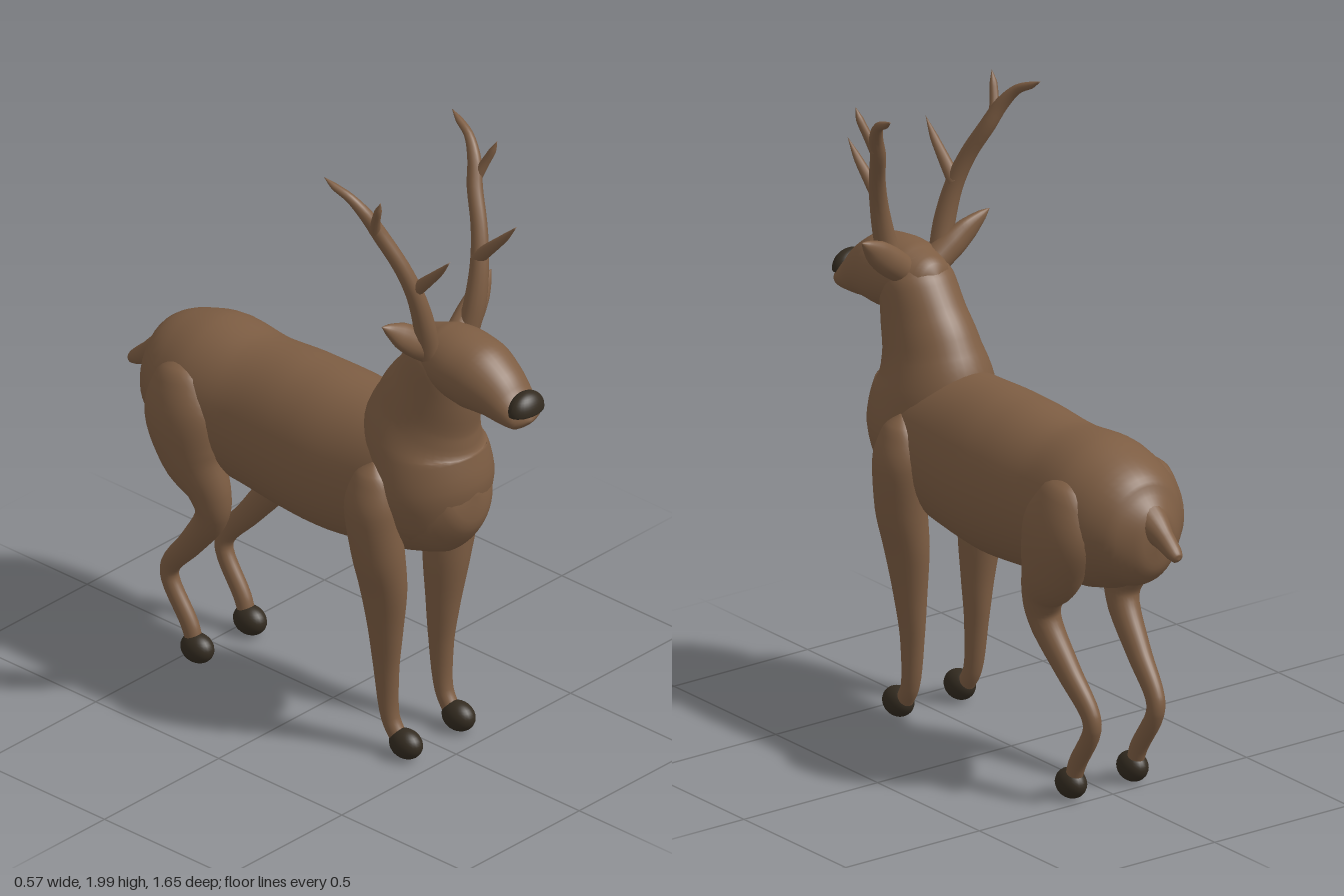
import * as THREE from 'three';
import { mergeVertices } from 'three/addons/utils/BufferGeometryUtils.js';

const hide = new THREE.MeshStandardMaterial({ color: 0x7d5d43 });
hide.name = 'brown hide';
const horn = new THREE.MeshStandardMaterial({ color: 0x332b20 });
horn.name = 'dark horn';

// Smooth body through elliptical sections [x, y, z, half width, half depth]
function loft(name, rows, side = 1, sides = 28, steps = 5) {
  const path = new THREE.CatmullRomCurve3(rows.map(r => new THREE.Vector3(r[0] * side, r[1], r[2])));
  const radii = new THREE.CatmullRomCurve3(rows.map(r => new THREE.Vector3(r[3], r[4], 0)));
  const count = (rows.length - 1) * steps;
  const position = [], index = [];
  for (let i = 0; i <= count; i++) {
    const t = i / count;
    const p = path.getPoint(t), r = radii.getPoint(t), tangent = path.getTangent(t);
    const across = new THREE.Vector3(1, 0, 0).addScaledVector(tangent, -tangent.x).normalize();
    const up = new THREE.Vector3().crossVectors(tangent, across);
    for (let j = 0; j < sides; j++) {
      const a = j / sides * Math.PI * 2;
      const v = p.clone()
        .addScaledVector(across, Math.cos(a) * Math.max(0, r.x))
        .addScaledVector(up, Math.sin(a) * Math.max(0, r.y));
      position.push(v.x, v.y, v.z);
      if (i < count) {
        const k = i * sides + j, n = i * sides + (j + 1) % sides;
        index.push(k, n, k + sides, n, n + sides, k + sides);
      }
    }
  }
  let geometry = new THREE.BufferGeometry();
  geometry.setAttribute('position', new THREE.Float32BufferAttribute(position, 3));
  geometry.setIndex(index);
  geometry = mergeVertices(geometry, 1e-5);
  geometry.computeVertexNormals();
  const mesh = new THREE.Mesh(geometry, hide);
  mesh.name = name;
  return mesh;
}

function hoof(name, x, z) {
  const mesh = new THREE.Mesh(new THREE.SphereGeometry(1, 24, 16), horn);
  mesh.name = name;
  mesh.scale.set(0.043, 0.047, 0.057);
  mesh.position.set(x, 0.052, z);
  return mesh;
}

export function createModel() {
  const model = new THREE.Group();
  model.name = 'stag';

  // Torso, rump to chest
  model.add(loft('torso', [
    [0, 0.88, -0.73, 0, 0], [0, 0.88, -0.715, 0.065, 0.09], [0, 0.88, -0.66, 0.135, 0.16],
    [0, 0.892, -0.57, 0.19, 0.21], [0, 0.897, -0.45, 0.21, 0.238], [0, 0.885, -0.3, 0.2, 0.24],
    [0, 0.88, -0.12, 0.205, 0.257], [0, 0.877, 0.02, 0.208, 0.262], [0, 0.885, 0.2, 0.198, 0.25],
    [0, 0.9, 0.35, 0.19, 0.232], [0, 0.915, 0.46, 0.165, 0.21], [0, 0.935, 0.55, 0.1, 0.125],
    [0, 0.945, 0.585, 0, 0],
  ], 1, 40));

  // Neck, breast to crown
  model.add(loft('neck', [
    [0, 0.69, 0.43, 0, 0], [0, 0.72, 0.43, 0.09, 0.08], [0, 0.8, 0.415, 0.16, 0.145],
    [0, 0.93, 0.395, 0.19, 0.195], [0, 1.05, 0.37, 0.17, 0.2], [0, 1.15, 0.39, 0.138, 0.175],
    [0, 1.25, 0.43, 0.121, 0.148], [0, 1.36, 0.465, 0.11, 0.115], [0, 1.43, 0.48, 0.07, 0.07],
    [0, 1.455, 0.485, 0, 0],
  ], 1, 40));

  // Head with muzzle
  model.add(loft('head', [
    [0, 1.38, 0.355, 0, 0], [0, 1.378, 0.38, 0.06, 0.06], [0, 1.365, 0.45, 0.105, 0.1],
    [0, 1.357, 0.53, 0.115, 0.112], [0, 1.345, 0.6, 0.111, 0.114], [0, 1.322, 0.67, 0.096, 0.093],
    [0, 1.292, 0.73, 0.08, 0.065], [0, 1.27, 0.785, 0.066, 0.038], [0, 1.265, 0.81, 0, 0],
  ], 1, 36));

  // Nose, domed above and flat below
  const noseShape = new THREE.SphereGeometry(1, 28, 20);
  const points = noseShape.attributes.position;
  for (let i = 0; i < points.count; i++) points.setY(i, Math.max(-0.1, points.getY(i)));
  noseShape.scale(0.067, 0.057, 0.043);
  noseShape.computeVertexNormals();
  const nose = new THREE.Mesh(noseShape, horn);
  nose.name = 'nose';
  nose.position.set(0, 1.298, 0.783);
  model.add(nose);

  // Tail
  model.add(loft('tail', [
    [0, 0.94, -0.62, 0.09, 0.1], [0, 0.925, -0.69, 0.055, 0.06], [0, 0.895, -0.75, 0.033, 0.036],
    [0, 0.865, -0.8, 0.026, 0.024], [0, 0.853, -0.818, 0.017, 0.016], [0, 0.85, -0.824, 0, 0],
  ], 1, 20));

  for (const s of [1, -1]) {
    const label = s > 0 ? 'left' : 'right';

    // Front leg with shoulder
    model.add(loft(label + 'FrontLeg', [
      [0.165, 1.01, 0.32, 0, 0], [0.172, 0.96, 0.32, 0.045, 0.06], [0.176, 0.85, 0.32, 0.075, 0.09],
      [0.16, 0.7, 0.33, 0.074, 0.087], [0.138, 0.57, 0.332, 0.063, 0.079],
      [0.126, 0.42, 0.33, 0.047, 0.058], [0.12, 0.28, 0.328, 0.034, 0.042],
      [0.117, 0.12, 0.342, 0.028, 0.029], [0.115, 0.06, 0.375, 0.026, 0.028],
    ], s));
    model.add(hoof(label + 'FrontHoof', 0.115 * s, 0.403));

    // Hind leg with thigh, knee and hock
    model.add(loft(label + 'HindLeg', [
      [0.11, 1.05, -0.48, 0, 0], [0.135, 0.99, -0.475, 0.075, 0.095],
      [0.163, 0.87, -0.455, 0.09, 0.14], [0.165, 0.74, -0.415, 0.08, 0.115],
      [0.155, 0.64, -0.36, 0.06, 0.073], [0.146, 0.56, -0.355, 0.049, 0.054],
      [0.132, 0.42, -0.45, 0.037, 0.041], [0.121, 0.3, -0.548, 0.028, 0.032],
      [0.118, 0.25, -0.552, 0.027, 0.029], [0.115, 0.12, -0.475, 0.026, 0.029],
      [0.115, 0.06, -0.455, 0.025, 0.026],
    ], s));
    model.add(hoof(label + 'HindHoof', 0.115 * s, -0.445));

    // Ear
    model.add(loft(label + 'Ear', [
      [0.06, 1.4, 0.455, 0.045, 0.045], [0.12, 1.445, 0.445, 0.047, 0.038],
      [0.17, 1.485, 0.435, 0.04, 0.027], [0.215, 1.52, 0.425, 0.018, 0.014],
      [0.24, 1.537, 0.42, 0, 0],
    ], s, 18));

    // Antler: main beam and two tines
    const antler = new THREE.Group();
    antler.name = label + 'Antler';
    antler.add(loft('beam', [
      [0.085, 1.4, 0.465, 0.035, 0.035], [0.11, 1.5, 0.475, 0.034, 0.034],
      [0.14, 1.62, 0.465, 0.028, 0.029], [0.17, 1.72, 0.435, 0.025, 0.026],
      [0.205, 1.82, 0.385, 0.024, 0.025], [0.235, 1.89, 0.355, 0.021, 0.022],
      [0.26, 1.945, 0.31, 0.015, 0.015], [0.273, 1.97, 0.26, 0.012, 0.011],
      [0.28, 1.992, 0.222, 0, 0],
    ], s, 14, 4));
    antler.add(loft('frontTine', [
      [0.138, 1.63, 0.455, 0.023, 0.023], [0.14, 1.68, 0.505, 0.019, 0.019],
      [0.143, 1.74, 0.565, 0.013, 0.012], [0.146, 1.795, 0.612, 0, 0],
    ], s, 12, 4));
    antler.add(loft('upperTine', [
      [0.222, 1.84, 0.375, 0.018, 0.018], [0.238, 1.89, 0.395, 0.014, 0.014],
      [0.25, 1.935, 0.415, 0.012, 0.011], [0.255, 1.972, 0.43, 0, 0],
    ], s, 12, 4));
    model.add(antler);
  }
  return model;
}
